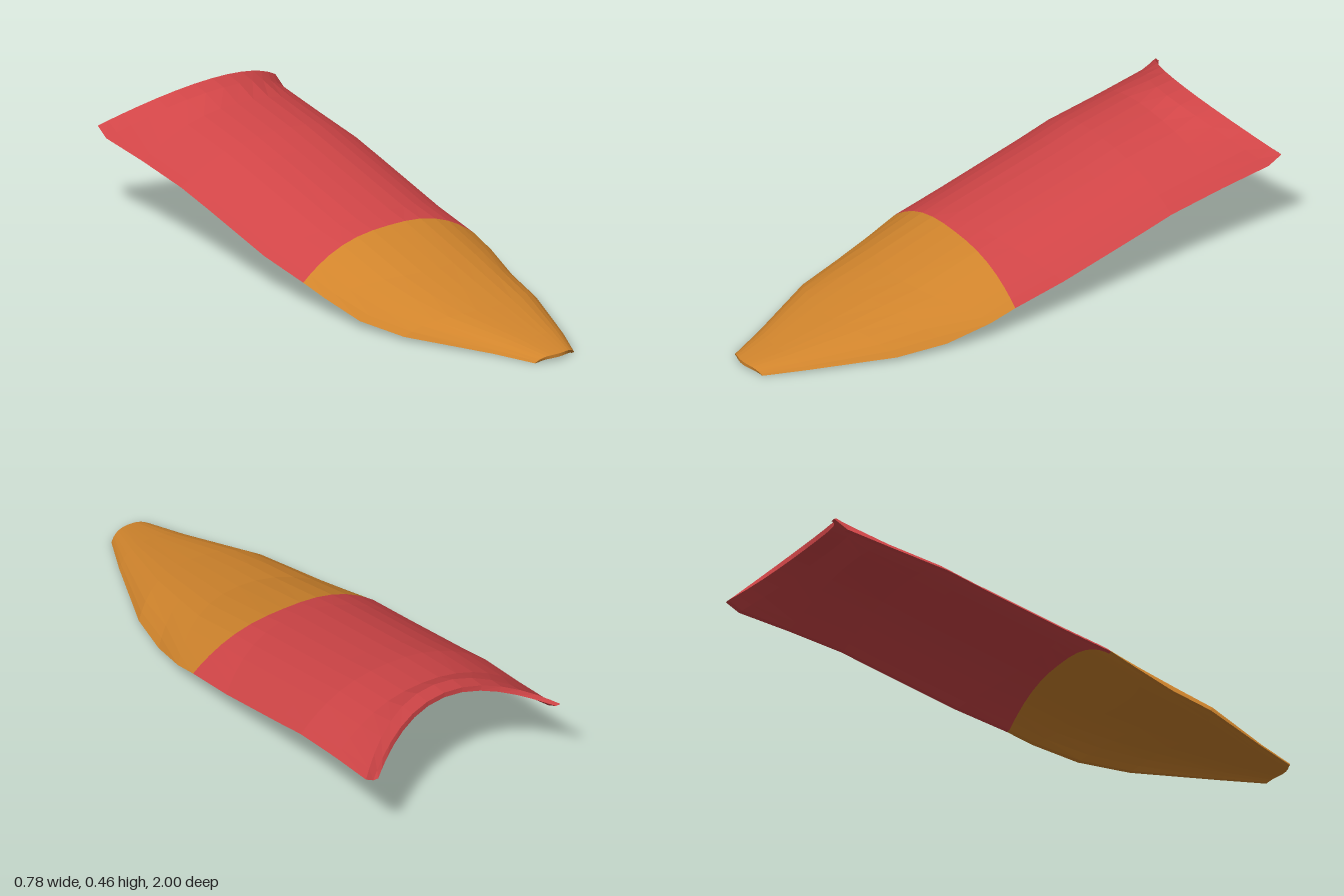
import * as THREE from 'three';

// Cross-sections from the narrow tip to the flared back:
// [z at middle, z at side edges, left x, right x, crown y, edge y, arch power, thickness]
const tip = [
  [1.0, 0.975, -0.03, 0.14, 0.026, 0.002, 4, 0.012],
  [0.87, 0.83, -0.1, 0.205, 0.048, 0.009, 4, 0.014],
  [0.65, 0.54, -0.258, 0.318, 0.09, 0.018, 4, 0.016],
  [0.5, 0.36, -0.31, 0.357, 0.122, 0.032, 3.5, 0.018],
  [0.37, 0.2, -0.338, 0.385, 0.15, 0.073, 3, 0.018],
];
const seam = [0.1, 0.1, -0.353, 0.389, 0.223, 0.102, 2.6, 0.018];
const plate = [
  [0.03, -0.1, -0.366, 0.387, 0.241, 0.14, 2.5, 0.018],
  [-0.39, -0.42, -0.371, 0.384, 0.344, 0.22, 2.4, 0.018],
  [-0.52, -0.55, -0.376, 0.381, 0.378, 0.253, 2.4, 0.018],
  [-0.72, -0.76, -0.38, 0.378, 0.418, 0.285, 2.3, 0.018],
  [-0.79, -0.95, -0.39, 0.38, 0.455, 0.312, 2.1, 0.02],
  [-0.86, -1.0, -0.387, 0.383, 0.466, 0.342, 2, 0.02],
];
const COLS = 14;

// Closed loop of one section: over the outside, then back along the inside
function sectionLoop([zMid, zEdge, xl, xr, top, edge, power, t]) {
  const loop = [];
  const mid = (xl + xr) / 2, half = (xr - xl) / 2;
  for (const inner of [false, true]) {
    for (let k = 0; k <= COLS; k++) {
      const j = inner ? COLS - k : k;
      const u = Math.sin((j / COLS - 0.5) * Math.PI * 0.8) / Math.sin(Math.PI * 0.4);
      const a = Math.abs(u);
      const y = top - (top - edge) * a ** power;
      loop.push([
        mid + u * (inner ? half - t : half),
        inner ? y - t * (1 - a ** 4) : y,
        zMid + (zEdge - zMid) * a * a,
      ]);
    }
  }
  return loop;
}

// Skin the sections into a thin arched shell
function shell(sections, capFront, capBack) {
  const loops = sections.map(sectionLoop);
  const n = loops[0].length;
  const index = [];
  const quad = (a, b, c, d) => index.push(a, b, c, a, c, d);
  for (let i = 0; i < loops.length - 1; i++) {
    for (let j = 0; j < n; j++) {
      const k = (j + 1) % n;
      quad(i * n + j, i * n + k, (i + 1) * n + k, (i + 1) * n + j);
    }
  }
  const last = (loops.length - 1) * n;
  for (let j = 0; j < COLS; j++) {
    const p = n - 1 - j;
    if (capFront) quad(j, p, p - 1, j + 1);
    if (capBack) quad(last + j, last + j + 1, last + p - 1, last + p);
  }
  const geometry = new THREE.BufferGeometry();
  geometry.setAttribute('position', new THREE.Float32BufferAttribute(loops.flat(2), 3));
  geometry.setIndex(index);
  geometry.computeVertexNormals();
  return geometry;
}

export function createModel() {
  const group = new THREE.Group();
  group.name = 'nail';
  const add = (name, geometry, colorName, color) => {
    const material = new THREE.MeshStandardMaterial({ color, flatShading: true, side: THREE.DoubleSide });
    material.name = colorName;
    const mesh = new THREE.Mesh(geometry, material);
    mesh.name = name;
    group.add(mesh);
  };
  add('nailTip', shell([...tip, seam], true, false), 'amber', 0xd0842c);
  add('nailPlate', shell([seam, ...plate], false, true), 'red', 0xd04547);
  return group;
}
